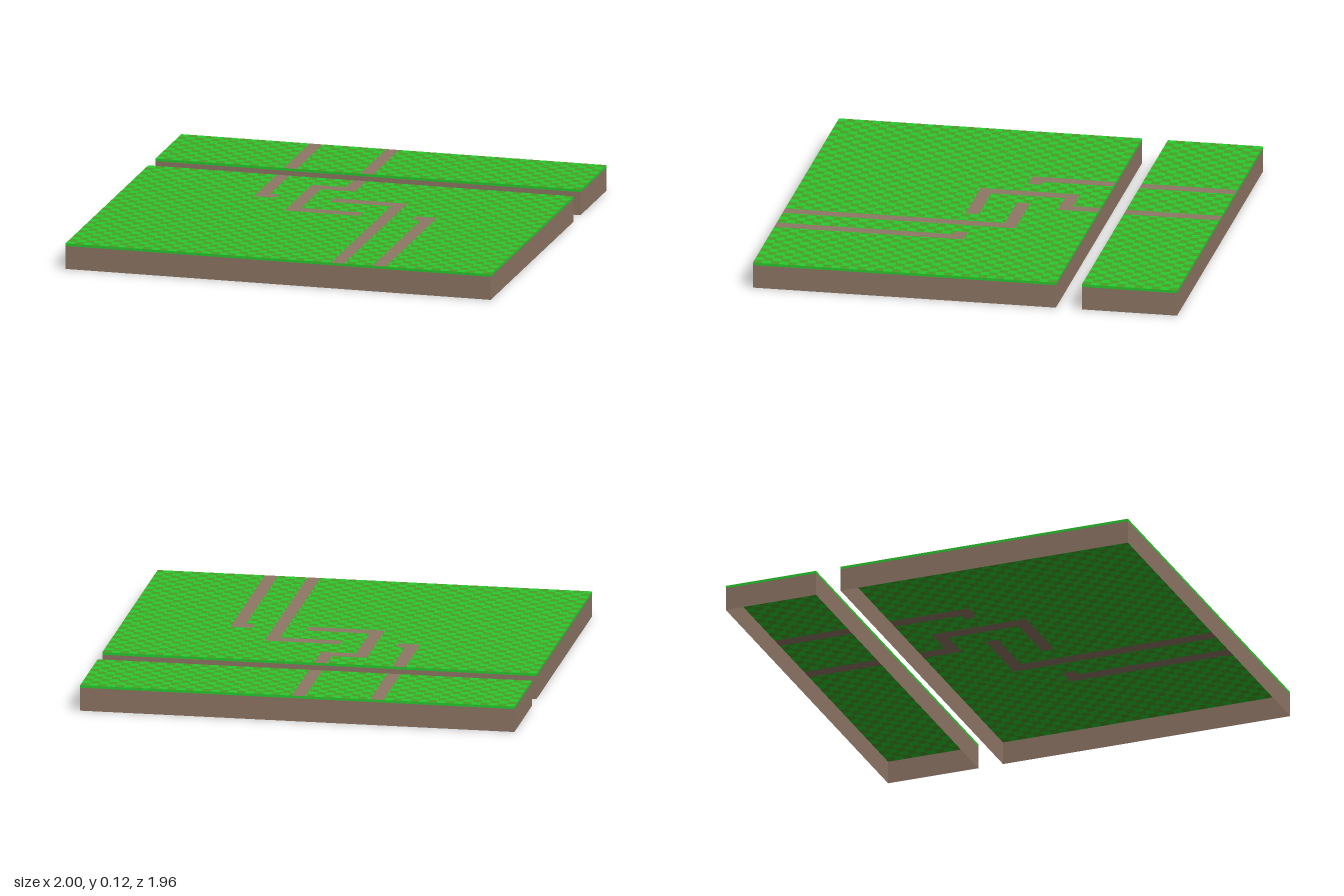
import * as THREE from 'three';

const CELL = 0.04, TOP = 0.12, TURF = 0.012;
const COLORS = { lightGrass: 0x29cb2d, darkGrass: 0x48a028, path: 0x8f7765, soil: 0x8f7765 };

// Path strips as [x0, z0, x1, z1]
const PATHS = [
  [-0.395, -0.98, -0.335, -0.035], [-0.335, -0.095, -0.295, -0.035],
  [-0.035, -0.98, 0.025, -0.235], [-0.195, -0.295, -0.035, -0.235],
  [-0.195, -0.235, -0.135, 0.165], [-0.135, 0.105, 0.155, 0.165],
  [-0.035, -0.095, 0.31, -0.035], [0.25, -0.035, 0.31, 0.98],
  [0.405, 0.105, 0.505, 0.165], [0.445, 0.165, 0.505, 0.98],
];

function makeMesh(name, positions, color, side = THREE.FrontSide) {
  const geometry = new THREE.BufferGeometry();
  geometry.setAttribute('position', new THREE.Float32BufferAttribute(positions, 3));
  geometry.computeVertexNormals();
  const mesh = new THREE.Mesh(geometry, new THREE.MeshStandardMaterial({ color, side }));
  mesh.name = name;
  return mesh;
}

// Corners run counter-clockwise as seen from the front
function quad(out, a, b, c, d) {
  out.push(...a, ...b, ...c, ...a, ...c, ...d);
}

// Four upright faces around a rectangle, without top or bottom
function ring(x0, z0, x1, z1, y0, y1) {
  const out = [];
  const corners = [[x0, z1], [x1, z1], [x1, z0], [x0, z0]];
  corners.forEach(([ax, az], i) => {
    const [bx, bz] = corners[(i + 1) % 4];
    quad(out, [ax, y0, az], [bx, y0, bz], [bx, y1, bz], [ax, y1, az]);
  });
  return out;
}

// Cell lines plus path edges, so that every patch has one colour
function cuts(from, to, edges) {
  const lines = edges.filter((e) => e > from && e < to);
  const count = Math.round((to - from) / CELL);
  for (let i = 0; i <= count; i++) lines.push(from + i * CELL);
  lines.sort((a, b) => a - b);
  return lines.filter((v, i) => i === 0 || v - lines[i - 1] > 1e-5);
}

function makePlot(name, z0, z1) {
  const plot = new THREE.Group();
  plot.name = name;
  const patches = { lightGrass: [], darkGrass: [], path: [] };
  const xs = cuts(-1, 1, PATHS.flatMap((p) => [p[0], p[2]]));
  const zs = cuts(z0, z1, PATHS.flatMap((p) => [p[1], p[3]]));
  const low = TOP - TURF;

  // Chequered turf with the paths inlaid, seen from above and below
  for (let i = 0; i < xs.length - 1; i++) {
    for (let j = 0; j < zs.length - 1; j++) {
      const [a, b, c, d] = [xs[i], xs[i + 1], zs[j], zs[j + 1]];
      const x = (a + b) / 2, z = (c + d) / 2;
      const onPath = PATHS.some((p) => x > p[0] && x < p[2] && z > p[1] && z < p[3]);
      const odd = (Math.floor((x + 1) / CELL) + Math.floor((z + 0.98) / CELL)) % 2;
      const out = patches[onPath ? 'path' : odd ? 'darkGrass' : 'lightGrass'];
      quad(out, [a, TOP, d], [b, TOP, d], [b, TOP, c], [a, TOP, c]);
      quad(out, [a, low, c], [b, low, c], [b, low, d], [a, low, d]);
    }
  }
  for (const [part, positions] of Object.entries(patches)) {
    plot.add(makeMesh(part, positions, COLORS[part]));
  }

  // Turf rim, and soil walls left open underneath
  plot.add(makeMesh('turfRim', ring(-1, z0, 1, z1, low, TOP), COLORS.lightGrass));
  plot.add(makeMesh('soilWalls', ring(-1, z0, 1, z1, 0, low), COLORS.soil, THREE.DoubleSide));
  return plot;
}

export function createModel() {
  const model = new THREE.Group();
  model.name = 'groundPlots';
  model.add(makePlot('backPlot', -0.98, -0.54), makePlot('frontPlot', -0.42, 0.98));
  return model;
}
